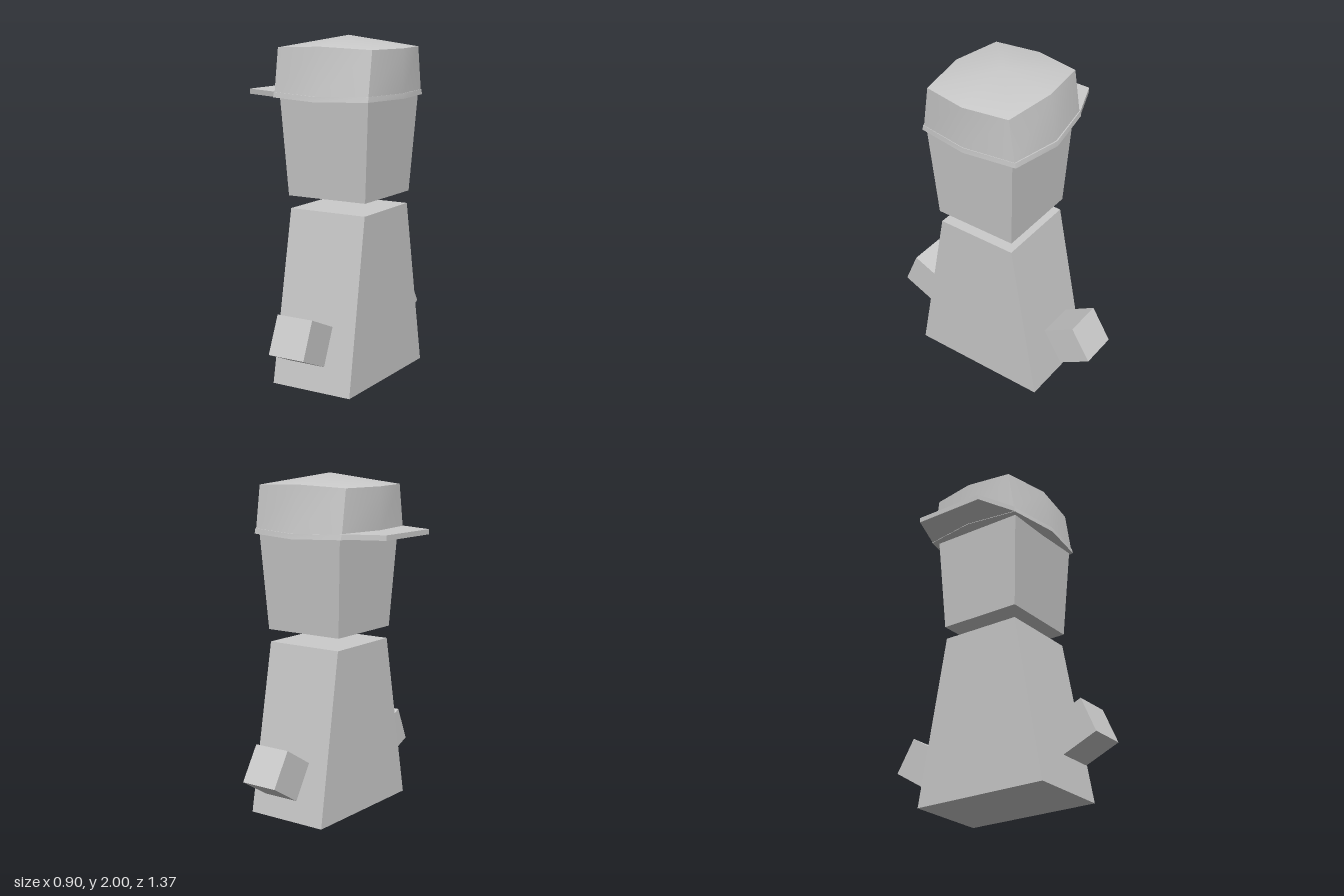
import * as THREE from 'three';
import { toCreasedNormals } from 'three/addons/utils/BufferGeometryUtils.js';

const grey = new THREE.MeshStandardMaterial({ color: 0xcccccc });

function addMesh(parent, name, geometry) {
  const mesh = new THREE.Mesh(geometry, grey);
  mesh.name = name;
  parent.add(mesh);
  return mesh;
}

// Closed solid through rings of points, bottom to top; each ring runs +x, -z, -x, +z
function loft(rings, bottomPoint, topPoint) {
  const out = [];
  const n = rings[0].length;
  const tri = (a, b, c) => out.push(...a, ...b, ...c);
  const first = rings[0], last = rings[rings.length - 1];
  for (let i = 0; i < n; i++) {
    const j = (i + 1) % n;
    for (let r = 0; r < rings.length - 1; r++) {
      const lo = rings[r], up = rings[r + 1];
      tri(lo[i], lo[j], up[j]);
      tri(lo[i], up[j], up[i]);
    }
    tri(bottomPoint, first[j], first[i]);
    tri(topPoint, last[i], last[j]);
  }
  const g = new THREE.BufferGeometry();
  g.setAttribute('position', new THREE.Float32BufferAttribute(out, 3));
  return toCreasedNormals(g, 0.55);
}

const rect = (y, x0, x1, z0, z1) => [[x1, y, z1], [x1, y, z0], [x0, y, z0], [x0, y, z1]];

function taperedBox(lower, upper) {
  const a = rect(...lower), b = rect(...upper);
  const mid = (r) => [(r[0][0] + r[2][0]) / 2, r[0][1], (r[0][2] + r[2][2]) / 2];
  return loft([a, b], mid(a), mid(b));
}

// Eight-sided cap outline: corners plus a bulge in the middle of each side
const CX = 0.088, CZ = 0.007;
function capRing(yCorner, yMid, cornerX, bulgeX, cornerZ, bulgeZ) {
  return [
    [bulgeX, yCorner, 0], [cornerX, yCorner, -cornerZ],
    [0, yMid, -bulgeZ], [-cornerX, yCorner, -cornerZ],
    [-bulgeX, yCorner, 0], [-cornerX, yCorner, cornerZ],
    [0, yMid, bulgeZ], [cornerX, yCorner, cornerZ],
  ].map(([x, y, z]) => [x + CX, y, z + CZ]);
}

export function createModel() {
  const model = new THREE.Group();

  // Body and head, floating apart
  addMesh(model, 'body', taperedBox(
    [0, -0.16, 0.355, -0.417, 0.437], [1.01, -0.148, 0.345, -0.237, 0.258]));
  addMesh(model, 'head', taperedBox(
    [1.085, -0.157, 0.352, -0.244, 0.266], [1.68, -0.192, 0.39, -0.278, 0.302]));

  // Cap: crown, rim band and brim
  const cap = new THREE.Group();
  cap.name = 'cap';
  model.add(cap);
  addMesh(cap, 'capCrown', loft([
    capRing(1.675, 1.665, 0.308, 0.354, 0.305, 0.358),
    capRing(1.932, 1.945, 0.308, 0.354, 0.267, 0.312),
  ], [CX, 1.67, CZ], [CX, 2.0, CZ]));
  addMesh(cap, 'capRim', loft([
    capRing(1.652, 1.643, 0.312, 0.36, 0.314, 0.369),
    capRing(1.682, 1.673, 0.31, 0.358, 0.309, 0.364),
  ], [CX, 1.655, CZ], [CX, 1.68, CZ]));

  const brimOutline = (y) => [
    [-0.222, y, 0.318], [-0.222, y, -0.304], [-0.455, y, -0.21], [-0.455, y, 0.225]];
  addMesh(cap, 'capBrim', loft([brimOutline(1.655), brimOutline(1.685)],
    [-0.34, 1.655, CZ], [-0.34, 1.685, CZ]));

  // Tilted cube hands in front and behind
  const hands = [
    ['frontHand', 0.1, 0.325, 0.538, -0.405],
    ['backHand', 0.075, 0.325, -0.528, 0.55],
  ];
  for (const [name, x, y, z, tilt] of hands) {
    const hand = addMesh(model, name, new THREE.BoxGeometry(0.229, 0.229, 0.229));
    hand.position.set(x, y, z);
    hand.rotation.x = tilt;
  }
  return model;
}
